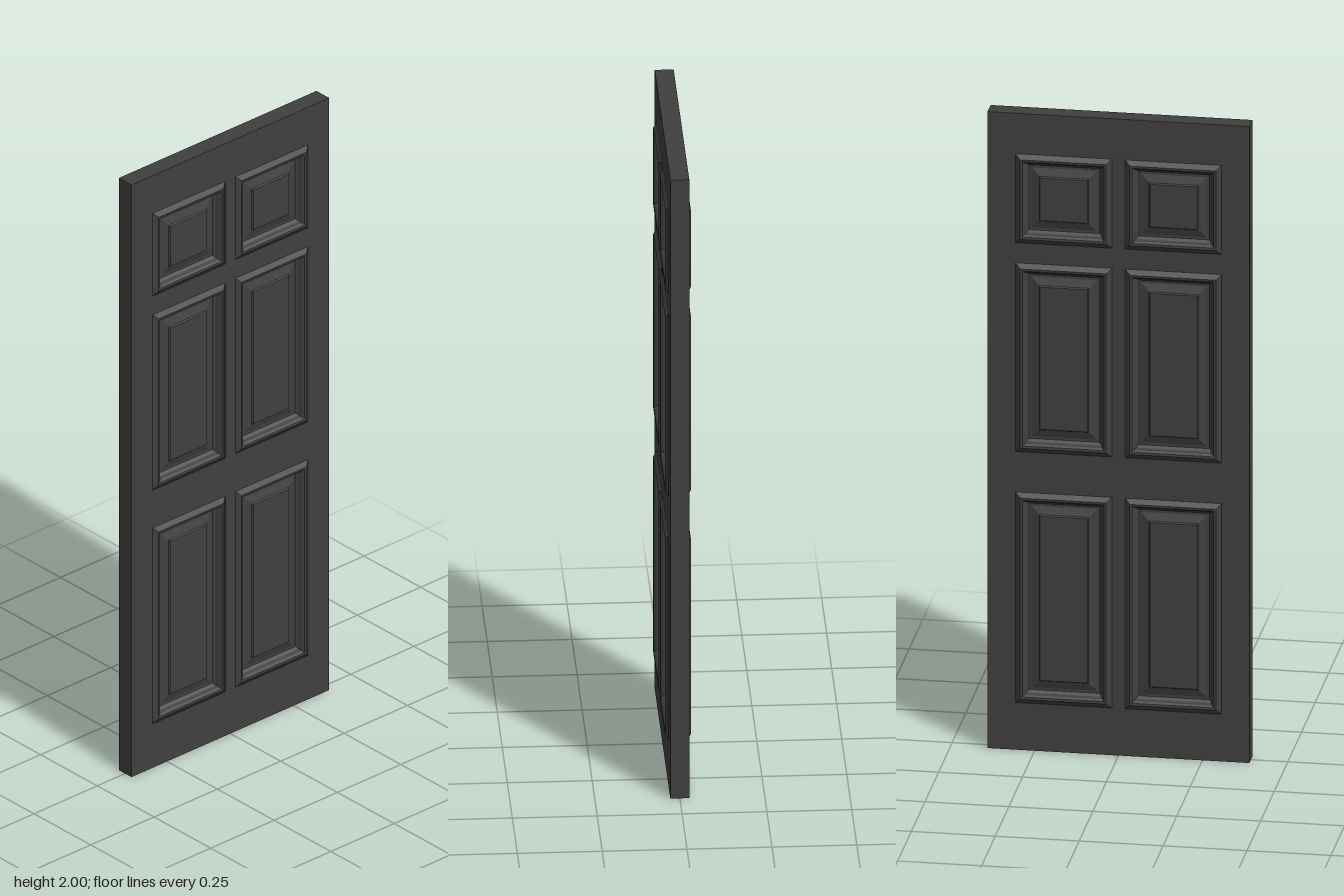
import * as THREE from 'three';

const HALF_W = 0.39, HEIGHT = 2, HALF_T = 0.028;
const STILE_X = 0.307, MULLION_X = 0.02;
// Vertical extents of the three rows of openings
const ROWS = [[0.148, 0.81], [0.937, 1.53], [1.593, 1.873]];
// Section from the opening edge inwards: [inset, z]
const MOULDING = [[0, 0.027], [0.011, 0.035], [0.015, 0.038], [0.022, 0.037], [0.027, 0.031], [0.031, 0.021], [0.038, 0.013]];
const FIELD = [[0.038, 0.013], [0.046, 0.013], [0.07, 0.021], [0.073, 0.026]];

const material = new THREE.MeshStandardMaterial({ color: 0x404040, flatShading: true });

function box(name, x0, x1, y0, y1) {
  const mesh = new THREE.Mesh(new THREE.BoxGeometry(x1 - x0, y1 - y0, HALF_T * 2), material);
  mesh.position.set((x0 + x1) / 2, (y0 + y1) / 2, 0);
  mesh.name = name;
  return mesh;
}

// Mitred rectangular rings following a section, facing +z, optionally closed in the middle
function mitredRings(w, h, section, closed) {
  const pos = [];
  const ring = ([inset, z]) => {
    const x = w / 2 - inset, y = h / 2 - inset;
    return [[-x, -y, z], [x, -y, z], [x, y, z], [-x, y, z]];
  };
  const quad = (a, b, c, d) => pos.push(...a, ...b, ...c, ...a, ...c, ...d);
  for (let i = 0; i < section.length - 1; i++) {
    const outer = ring(section[i]), inner = ring(section[i + 1]);
    for (let k = 0; k < 4; k++) {
      const n = (k + 1) % 4;
      quad(outer[k], outer[n], inner[n], inner[k]);
    }
  }
  if (closed) quad(...ring(section[section.length - 1]));
  const geometry = new THREE.BufferGeometry();
  geometry.setAttribute('position', new THREE.Float32BufferAttribute(pos, 3));
  geometry.computeVertexNormals();
  return geometry;
}

// One opening: moulding and raised field on both faces
function panel(x0, x1, y0, y1) {
  const group = new THREE.Group();
  group.name = 'panel';
  group.position.set((x0 + x1) / 2, (y0 + y1) / 2, 0);
  const moulding = mitredRings(x1 - x0, y1 - y0, MOULDING, false);
  const field = mitredRings(x1 - x0, y1 - y0, FIELD, true);
  for (const [side, turn] of [['front', 0], ['back', Math.PI]]) {
    for (const [part, geometry] of [['Moulding', moulding], ['RaisedField', field]]) {
      const mesh = new THREE.Mesh(geometry, material);
      mesh.name = side + part;
      mesh.rotation.y = turn;
      group.add(mesh);
    }
  }
  return group;
}

export function createModel() {
  const door = new THREE.Group();
  door.name = 'panelDoor';

  // Stiles
  door.add(box('leftStile', STILE_X, HALF_W, 0, HEIGHT));
  door.add(box('rightStile', -HALF_W, -STILE_X, 0, HEIGHT));

  // Rails fill the gaps between the rows
  const edges = [0, ...ROWS.flat(), HEIGHT];
  ['bottomRail', 'lockRail', 'upperRail', 'topRail'].forEach((name, i) => {
    door.add(box(name, -STILE_X, STILE_X, edges[2 * i], edges[2 * i + 1]));
  });

  // Mullion and a pair of panels in each row
  for (const [y0, y1] of ROWS) {
    door.add(box('mullion', -MULLION_X, MULLION_X, y0, y1));
    door.add(panel(MULLION_X, STILE_X, y0, y1));
    door.add(panel(-STILE_X, -MULLION_X, y0, y1));
  }
  return door;
}
